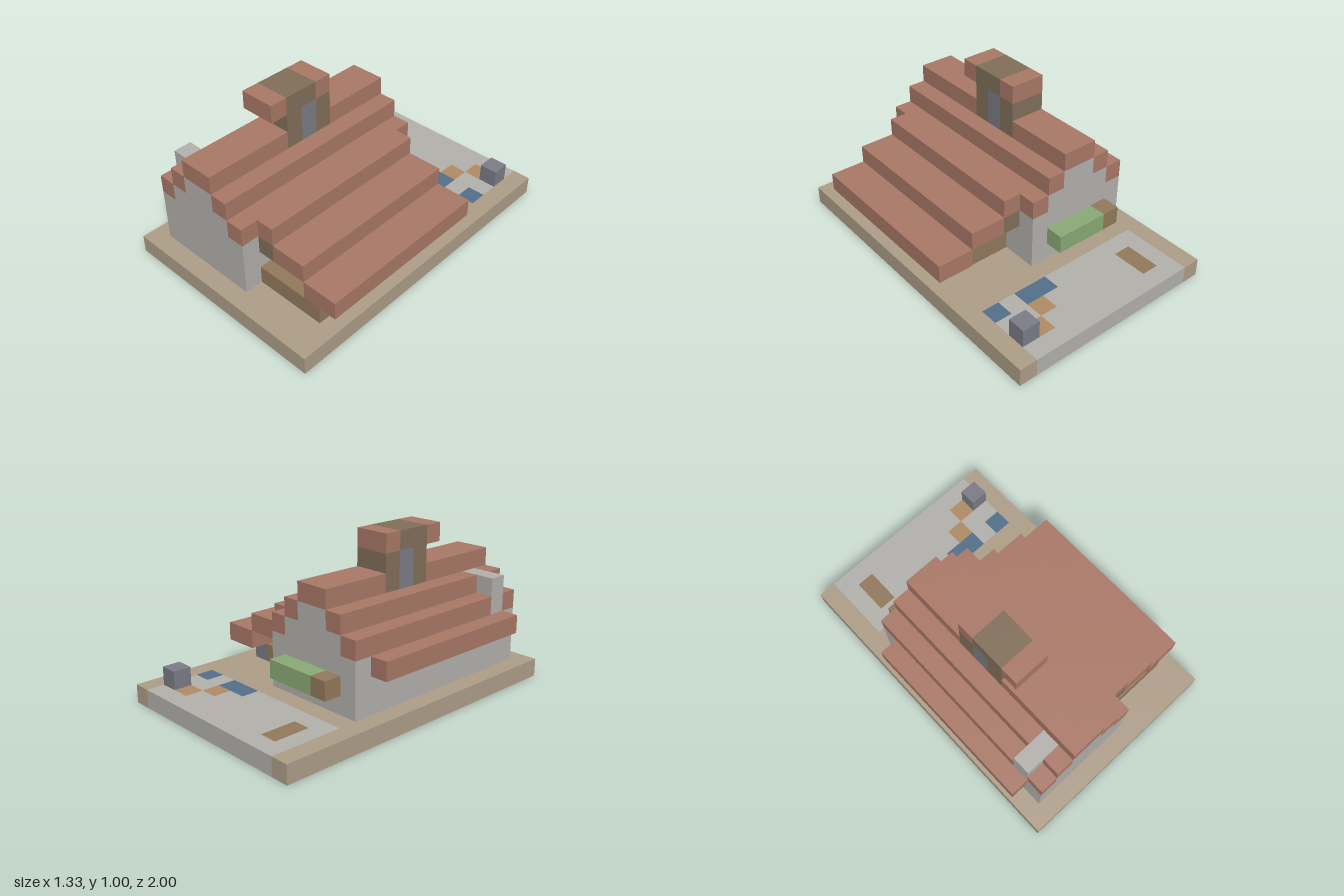
import * as THREE from 'three';

const U = 1 / 9; // edge of one block
const C = {
  tan: 0xaf9f89, grey: 0xb4b2ad, red: 0xab7968, wood: 0x937a5c, oldWood: 0x82705a,
  slate: 0x7c7d87, green: 0x8bab77, blue: 0x54708d, orange: 0xb08c64,
};

export function createModel() {
  // every block: "x,y,z" -> part and colour; later boxes overwrite earlier ones
  const blocks = new Map();
  const box = (part, color, x0, x1, y0, y1, z0, z1) => {
    for (let x = x0; x < x1; x++)
      for (let y = y0; y < y1; y++)
        for (let z = z0; z < z1; z++) blocks.set(`${x},${y},${z}`, { part, color, p: [x, y, z] });
  };

  // ground plate with the paved yard behind the house
  box('groundPlate', C.tan, -6, 6, 0, 1, -9, 9);
  box('pavedYard', C.grey, -5, 5, 0, 1, -9, -5);
  box('pavingPatch', C.wood, -4, -3, 0, 1, -8, -6);
  box('pavingPatch', C.orange, 3, 4, 0, 1, -8, -7);
  box('pavingPatch', C.orange, 2, 3, 0, 1, -7, -6);
  box('pond', C.blue, 1, 3, 0, 1, -6, -5);
  box('pond', C.blue, 4, 5, 0, 1, -6, -5);
  box('yardStone', C.slate, 4, 5, 1, 2, -8, -7);

  // house walls with stepped gables
  box('houseWalls', C.grey, -5, 1, 1, 4, -4, 8);
  box('houseWalls', C.grey, -4, 0, 4, 5, -4, 8);
  box('houseWalls', C.grey, -3, -1, 5, 6, -4, 8);

  // main roof, one course per step: [x0, x1, y, z0, z1]
  for (const [x0, x1, y, z0, z1] of [
    [-6, -5, 3, -3, 7], [-5, -4, 4, -4, 8], [-4, -3, 5, -4, 8], [-3, -1, 6, -4, 8],
    [-1, 0, 5, -4, 8], [0, 1, 4, -4, 8],
  ]) box('mainRoof', C.red, x0, x1, y, y + 1, z0, z1);

  // canopy over the side counter
  box('canopyBeam', C.oldWood, 1, 2, 3, 4, -3, 7);
  box('canopyRoof', C.red, 1, 2, 4, 5, -3, 7);
  box('canopyRoof', C.red, 2, 4, 3, 4, -3, 7);
  box('canopyRoof', C.red, 4, 6, 2, 3, -3, 7);

  // side counter: wooden ends and posts with dark panels between
  box('counterEnd', C.wood, 1, 5, 1, 2, 6, 7);
  box('counterEnd', C.wood, 1, 4, 1, 2, -2, -1);
  for (const z of [-2, 1, 4]) {
    box('counterPanel', C.slate, 4, 5, 1, 2, z, z + 2);
    box('counterPost', C.wood, 4, 5, 1, 2, z + 2, z + 3);
  }

  // small stone flue on the long slope
  box('sideFlue', C.grey, -5, -4, 4, 6, 6, 7);
  box('sideFlue', C.grey, -4, -3, 5, 6, 6, 7);

  // chimney tower with an overhanging cap
  box('chimneyShaft', C.oldWood, -3, -1, 6, 8, 0, 3);
  box('chimneyPanel', C.slate, -3, -1, 6, 8, 1, 2);
  box('chimneyCap', C.red, -3, -1, 8, 9, 0, 4);
  box('chimneyCapCentre', C.oldWood, -3, -1, 8, 9, 1, 3);

  // planter on the rear wall
  box('planterEnd', C.wood, -4, -3, 2, 3, -5, -4);
  box('planter', C.green, -3, 0, 2, 3, -5, -4);

  // gather exposed faces per part and colour; the underside stays open
  const parts = new Map();
  for (const { part, color, p } of blocks.values()) {
    const key = part + color;
    if (!parts.has(key)) parts.set(key, { part, color, pos: [], nor: [] });
    const { pos, nor } = parts.get(key);
    for (let a = 0; a < 3; a++) for (const s of [-1, 1]) {
      const n = [0, 0, 0];
      n[a] = s;
      const next = p.map((v, i) => v + n[i]);
      if (next[1] < 0 || blocks.has(next.join())) continue;
      const b = (a + 1) % 3, c = (a + 2) % 3;
      const quad = [[0, 0], [1, 0], [1, 1], [0, 1]].map(([i, j]) => {
        const v = [...p];
        v[a] += s > 0 ? 1 : 0;
        v[b] += i;
        v[c] += j;
        return v.map((t) => t * U);
      });
      for (const k of s > 0 ? [0, 1, 2, 0, 2, 3] : [0, 2, 1, 0, 3, 2]) {
        pos.push(...quad[k]);
        nor.push(...n);
      }
    }
  }

  const model = new THREE.Group();
  model.name = 'blockHouse';
  for (const { part, color, pos, nor } of parts.values()) {
    if (!pos.length) continue;
    const geo = new THREE.BufferGeometry();
    geo.setAttribute('position', new THREE.Float32BufferAttribute(pos, 3));
    geo.setAttribute('normal', new THREE.Float32BufferAttribute(nor, 3));
    const mesh = new THREE.Mesh(geo, new THREE.MeshStandardMaterial({ color, side: THREE.DoubleSide }));
    mesh.name = part;
    model.add(mesh);
  }
  return model;
}
